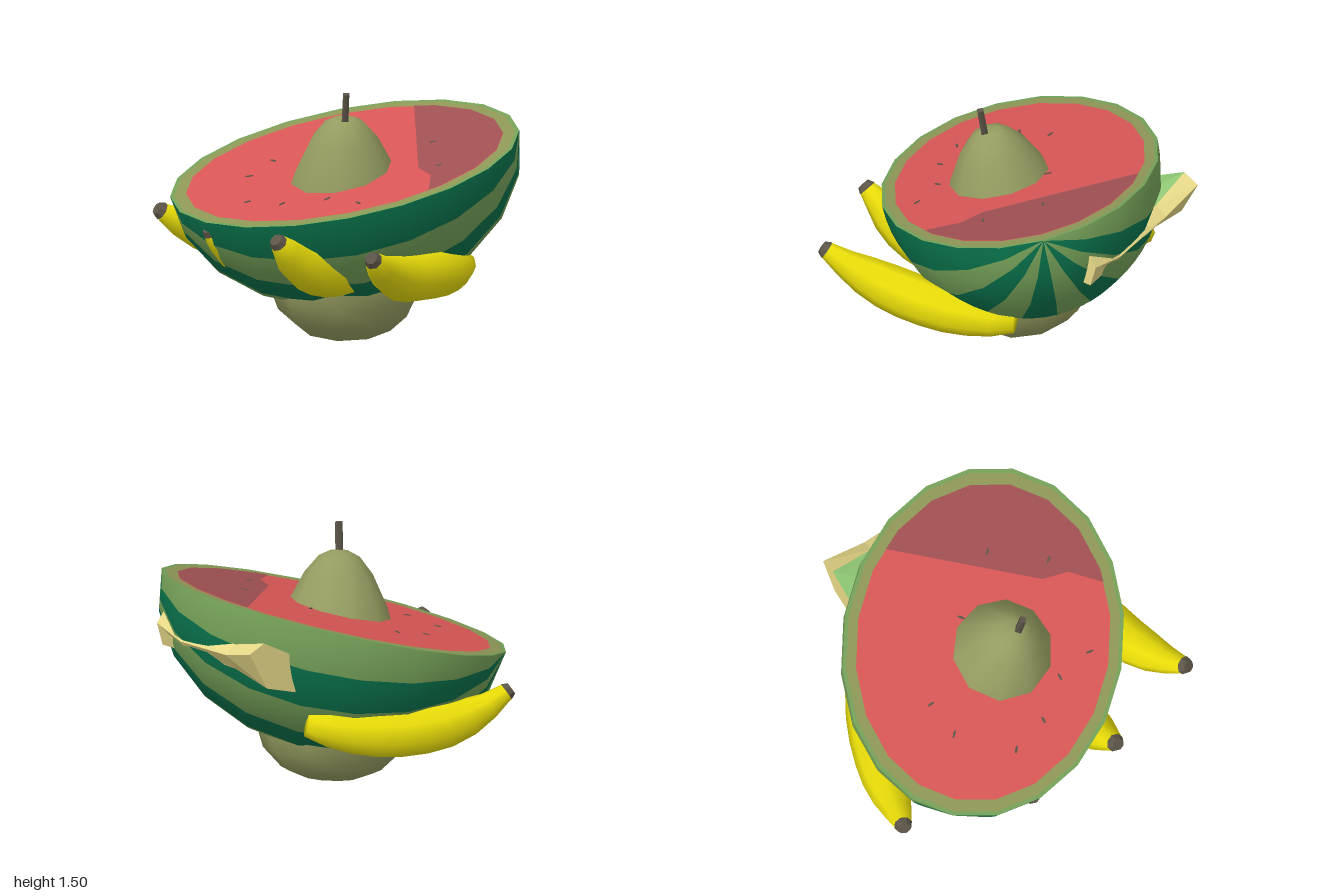
import * as THREE from 'three';

const mat = (name, color, side = THREE.FrontSide) => {
  const m = new THREE.MeshStandardMaterial({ color, side });
  m.name = name;
  return m;
};
const V = (a) => new THREE.Vector3(...a);

// Skin rings of points; sides picks which strips to build, caps close both ends
function loft(rings, { sides, caps = true, flat = false } = {}) {
  const n = rings[0].length, pos = [], idx = [];
  rings.forEach((r) => r.forEach((p) => pos.push(p.x, p.y, p.z)));
  const strips = sides || [...Array(n).keys()];
  for (let k = 0; k < rings.length - 1; k++) {
    for (const i of strips) {
      const j = (i + 1) % n, a = k * n + i, b = k * n + j;
      idx.push(a, b, b + n, a, b + n, a + n);
    }
  }
  if (caps) {
    const last = (rings.length - 1) * n;
    for (let i = 1; i < n - 1; i++) {
      idx.push(0, i + 1, i, last, last + i, last + i + 1);
    }
  }
  let g = new THREE.BufferGeometry();
  g.setAttribute('position', new THREE.Float32BufferAttribute(pos, 3));
  g.setIndex(idx);
  if (flat) g = g.toNonIndexed();
  g.computeVertexNormals();
  return g;
}

export function createModel() {
  const root = new THREE.Group();
  const M = {
    dark: mat('dark rind', 0x08704a),
    light: mat('light rind', 0x74a058),
    rim: mat('rim', 0x8e9656),
    flesh: mat('red flesh', 0xd85656),
    shade: mat('deep red flesh', 0xa05052),
    pear: mat('pear skin', 0x959c60),
    yellow: mat('banana skin', 0xe8dc08),
    brown: mat('stem brown', 0x5c5548),
    cream: mat('cream flesh', 0xe8da88),
    green: mat('melon slice rind', 0x90c874, THREE.DoubleSide),
  };
  const add = (parent, name, geo, material) => {
    const m = new THREE.Mesh(geo, material);
    m.name = name;
    parent.add(m);
    return m;
  };

  // Half watermelon: tilted bowl, long axis on the diagonal
  const tilt = new THREE.Group();
  tilt.name = 'watermelonHalf';
  tilt.position.set(-0.005, 1.035, 0.008);
  tilt.rotation.x = 0.267;
  root.add(tilt);
  const melon = new THREE.Group();
  melon.name = 'watermelonBody';
  melon.rotation.y = 0.82;
  tilt.add(melon);
  const A = 1.035, B = 0.825, step = Math.PI / 10;
  for (let i = 0; i < 10; i++) {
    const g = new THREE.SphereGeometry(1, 1, 10, Math.PI / 2 + i * step, step);
    g.rotateZ(-Math.PI / 2);
    g.scale(A, B, B);
    add(melon, 'rindStripe', g, i % 2 ? M.light : M.dark);
  }

  // Cut face: outer and inner rim, flesh and deeper red area
  const oval = (a, b, from = 0, to = 19) => {
    const pts = [];
    for (let i = from; i <= to; i++) {
      pts.push(new THREE.Vector2(a * Math.cos(i * step), b * Math.sin(i * step)));
    }
    return pts;
  };
  const flatGeo = (shape, y) => new THREE.ShapeGeometry(shape).rotateX(-Math.PI / 2).translate(0, y, 0);
  const ring = (a0, b0, a1, b1) => {
    const s = new THREE.Shape(oval(a0, b0));
    s.holes.push(new THREE.Path(oval(a1, b1).reverse()));
    return flatGeo(s, 0);
  };
  const a = 0.94, b = 0.745;
  add(melon, 'outerRim', ring(A, B, A - 0.025, B - 0.022), M.light);
  add(melon, 'innerRim', ring(A - 0.025, B - 0.022, a, b), M.rim);
  add(melon, 'flesh', flatGeo(new THREE.Shape(oval(a, b)), 0), M.flesh);
  const edge = [[0.43, 0.655], [0.43, -0.28], [0.5, -0.42], [0.48, -0.635]];
  const patch = [...oval(a, b, -3, 3), ...edge.map((p) => new THREE.Vector2(...p))];
  add(melon, 'deepFlesh', flatGeo(new THREE.Shape(patch), 0.003), M.shade);

  // Seeds: x, z, turn
  [[-0.46, 0.14, 0], [-0.44, 0.36, 0.7], [-0.18, 0.63, 0.8], [0.05, 0.57, 1.5], [0.27, 0.41, 1.5],
    [0.5, 0.38, -0.2], [0.31, -0.43, 0.7], [0.59, -0.2, 0.6], [-0.03, -0.19, -0.9]].forEach(([x, z, turn]) => {
    const s = add(tilt, 'seed', new THREE.CylinderGeometry(0.025, 0.025, 0.004, 6).scale(1, 1, 0.3), M.brown);
    s.position.set(x, 0.003, z);
    s.rotation.y = turn;
  });

  // Leaning pear through the melon
  const pear = new THREE.Group();
  pear.name = 'pear';
  pear.position.set(-0.04, 0.02, -0.04);
  pear.quaternion.setFromUnitVectors(V([0, 1, 0]), V([0.12, 1, 0.13]).normalize());
  root.add(pear);
  const profile = [[0, 0], [0.16, 0.01], [0.29, 0.06], [0.4, 0.17], [0.45, 0.32], [0.45, 0.46], [0.405, 0.7],
    [0.315, 0.95], [0.288, 1.03], [0.2, 1.21], [0.12, 1.31], [0.06, 1.34], [0, 1.345]];
  add(pear, 'pearBody', new THREE.LatheGeometry(profile.map((p) => new THREE.Vector2(...p)), 10), M.pear);
  const stem = add(root, 'pearStem', new THREE.CylinderGeometry(0.026, 0.028, 0.19, 4), M.brown);
  stem.position.set(0.157, 1.405, 0.155);
  stem.rotation.set(0.08, 0, -0.14);

  // Bananas: path from dark tip to far end, with radii along it
  const banana = (name, path, scale = 1) => {
    const g = new THREE.Group();
    g.name = name;
    root.add(g);
    const curve = new THREE.CatmullRomCurve3(path.map(V));
    const radii = [0.05, 0.082, 0.115, 0.135, 0.142, 0.142, 0.138, 0.125, 0.105, 0.07];
    const n = radii.length - 1, f = curve.computeFrenetFrames(n);
    const rings = radii.map((r, k) => [...Array(8).keys()].map((i) => {
      const t = (i / 8) * Math.PI * 2;
      return curve.getPointAt(k / n)
        .addScaledVector(f.normals[k], r * scale * Math.cos(t))
        .addScaledVector(f.binormals[k], r * scale * Math.sin(t));
    }));
    add(g, 'bananaBody', loft(rings), M.yellow);
    // Dark end cap
    const start = V(path[0]);
    const cap = [[-0.03, 0.75], [0.006, 1.1]].map(([d, s]) => rings[0].map((p) => p.clone()
      .sub(start).multiplyScalar(s).add(start).addScaledVector(f.tangents[0], d)));
    add(g, 'bananaTip', loft(cap, { flat: true }), M.brown);
  };
  banana('leftBanana', [[0.95, 0.715, 0.69], [0.89, 0.62, 0.55], [0.81, 0.525, 0.32], [0.75, 0.49, 0.03],
    [0.66, 0.47, -0.22], [0.57, 0.47, -0.41]]);
  banana('rightBanana', [[-0.955, 0.69, 0.58], [-0.91, 0.6, 0.45], [-0.845, 0.52, 0.23], [-0.74, 0.49, -0.06],
    [-0.61, 0.51, -0.32], [-0.5, 0.56, -0.52]]);
  banana('frontBanana', [[0.34, 0.75, 0.87], [0.33, 0.68, 0.79], [0.315, 0.58, 0.66], [0.3, 0.5, 0.46],
    [0.29, 0.47, 0.22], [0.28, 0.48, 0]]);
  banana('buriedBanana', [[-0.24, 0.72, 0.865], [-0.24, 0.64, 0.79], [-0.24, 0.55, 0.64], [-0.23, 0.5, 0.42],
    [-0.22, 0.48, 0.2], [-0.2, 0.49, 0]], 0.85);

  // Pale melon slice wedged in the back, sections of [y, z] along x
  const sections = [
    [0.46, [[1.08, -0.86], [1.0, -0.92], [0.86, -0.88], [0.86, -0.7], [1.05, -0.7]]],
    [0.22, [[1.0, -0.87], [0.95, -0.915], [0.88, -0.87], [0.86, -0.7], [1.0, -0.7]]],
    [-0.22, [[1.04, -0.83], [0.99, -0.905], [0.89, -0.83], [0.84, -0.64], [0.97, -0.6]]],
    [-0.5, [[1.12, -0.82], [1.07, -0.92], [0.84, -0.8], [0.78, -0.6], [0.98, -0.56]]],
  ];
  const rings = sections.map(([x, pts]) => pts.map(([y, z]) => V([x, y, z])));
  const slice = new THREE.Group();
  slice.name = 'melonSlice';
  root.add(slice);
  add(slice, 'sliceFlesh', loft(rings, { sides: [0, 1], flat: true }), M.cream);
  add(slice, 'sliceRind', loft(rings, { sides: [2, 3, 4], caps: false, flat: true }), M.green);

  return root;
}
